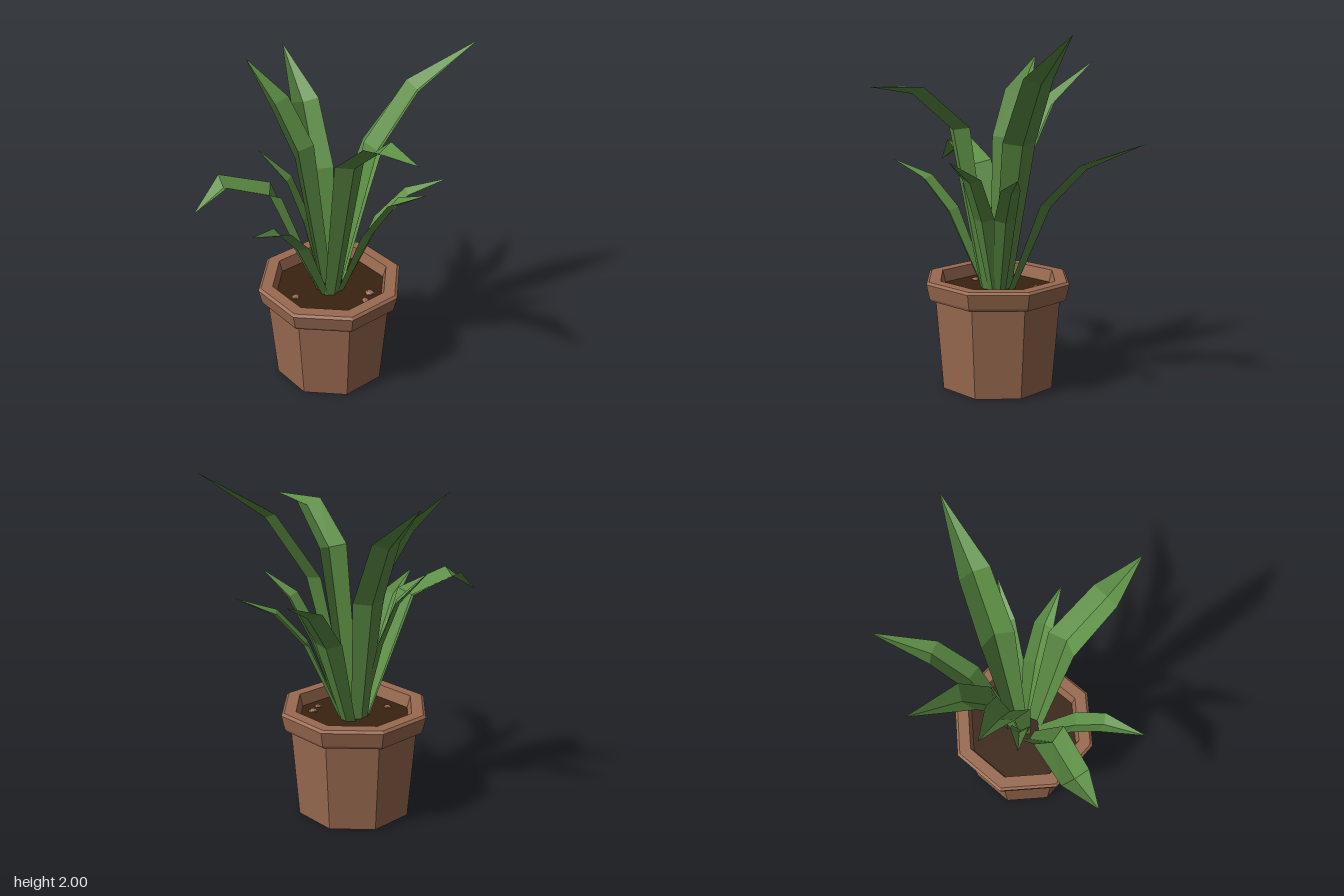
import * as THREE from 'three';

const material = (name, color, side = THREE.FrontSide) => {
  const m = new THREE.MeshStandardMaterial({ color, flatShading: true, side });
  m.name = name;
  return m;
};

// Centre of the pot
const CX = -0.043, CZ = -0.077;

// A folded blade: rows of left edge, keel and right edge, closing in a point.
// Each point is [x, y, z]; the keel hangs below the edges.
function leafGeometry(points, width) {
  const pts = points.map((p) => new THREE.Vector3(...p));
  const tip = pts[3];
  const along = tip.clone().sub(pts[0]).setY(0).normalize();
  const side = new THREE.Vector3(along.z, 0, -along.x);
  const widths = [0.55, 1, 0.88];
  const rows = [];
  for (let i = 0; i < 3; i++) {
    const w = width * widths[i];
    const tangent = pts[i + 1].clone().sub(pts[Math.max(i - 1, 0)]).normalize();
    const up = new THREE.Vector3().crossVectors(tangent, side).normalize();
    const edge = (s) => pts[i].clone().addScaledVector(side, s * w / 2).addScaledVector(up, w * 0.12);
    rows.push([edge(1), pts[i].clone().addScaledVector(up, -w * 0.12), edge(-1)]);
  }
  const pos = [];
  const tri = (...v) => v.forEach((p) => pos.push(p.x, p.y, p.z));
  for (let k = 0; k < 2; k++) {
    for (let i = 0; i < 2; i++) {
      const a = rows[i][k], b = rows[i][k + 1], c = rows[i + 1][k + 1], d = rows[i + 1][k];
      tri(a, b, c);
      tri(a, c, d);
    }
    tri(rows[2][k], rows[2][k + 1], tip);
  }
  const g = new THREE.BufferGeometry();
  g.setAttribute('position', new THREE.Float32BufferAttribute(pos, 3));
  g.computeVertexNormals();
  return g;
}

export function createModel() {
  const model = new THREE.Group();
  model.name = 'pottedPlant';
  const clay = material('terracotta', 0x9a6a50);
  const earth = material('soilBrown', 0x3a2210);
  const green = material('leafGreen', 0x5d8f45, THREE.DoubleSide);

  const add = (name, geometry, mat, x = 0, y = 0, z = 0) => {
    const mesh = new THREE.Mesh(geometry, mat);
    mesh.name = name;
    mesh.position.set(x, y, z);
    model.add(mesh);
    return mesh;
  };

  // Eight-sided pot with a collar and an open top
  const profile = [
    [0, 0], [0.337, 0], [0.38, 0.525], [0.41, 0.525], [0.418, 0.54],
    [0.436, 0.622], [0.42, 0.635], [0.35, 0.635], [0.325, 0.54],
  ].map(([r, y]) => new THREE.Vector2(r, y));
  add('pot', new THREE.LatheGeometry(profile, 8), clay, CX, 0, CZ);

  // Soil and a few clay chips
  add('soil', new THREE.CylinderGeometry(0.335, 0.32, 0.03, 8), earth, CX, 0.55, CZ);
  [[0.16, 0.06, 0.03], [0.11, 0.12, 0.022], [-0.27, -0.03, 0.025], [0.04, -0.29, 0.022]].forEach(([x, z, r], i) => {
    const chip = add('clayChip', new THREE.IcosahedronGeometry(r, 0), clay, x, 0.567, z);
    chip.scale.y = 0.5;
    chip.rotation.y = i * 1.3;
  });

  // Leaves: width, then root, two bends and tip
  const leaves = [
    [0.20, [0.01, 0.55, -0.09], [0.22, 1.42, -0.10], [0.45, 1.765, -0.10], [0.81, 2.0, -0.10]],
    [0.16, [0.02, 0.55, -0.14], [0.19, 1.07, -0.28], [0.34, 1.295, -0.43], [0.54, 1.43, -0.69]],
    [0.19, [-0.06, 0.55, -0.13], [-0.07, 1.27, -0.24], [-0.09, 1.62, -0.42], [-0.13, 1.86, -0.73]],
    [0.19, [-0.07, 0.55, -0.10], [-0.17, 1.42, -0.20], [-0.27, 1.68, -0.31], [-0.40, 1.89, -0.48]],
    [0.19, [-0.11, 0.55, -0.08], [-0.37, 1.26, -0.075], [-0.64, 1.355, -0.075], [-0.82, 1.23, -0.02]],
    [0.12, [0.03, 0.55, -0.06], [0.22, 1.0, -0.01], [0.38, 1.185, 0.03], [0.60, 1.28, 0.09]],
    [0.13, [0.01, 0.55, -0.03], [0.14, 1.0, 0.09], [0.24, 1.235, 0.20], [0.36, 1.36, 0.37]],
    [0.19, [-0.05, 0.55, 0.0], [0.0, 1.5, 0.19], [0.05, 1.715, 0.45], [0.16, 1.74, 0.72]],
    [0.13, [-0.10, 0.55, -0.02], [-0.28, 1.0, 0.12], [-0.40, 1.18, 0.23], [-0.59, 1.28, 0.38]],
    [0.11, [-0.08, 0.55, -0.11], [-0.17, 1.0, -0.15], [-0.25, 1.25, -0.20], [-0.40, 1.43, -0.28]],
  ];
  for (const [width, ...points] of leaves) add('leaf', leafGeometry(points, width), green);

  return model;
}
